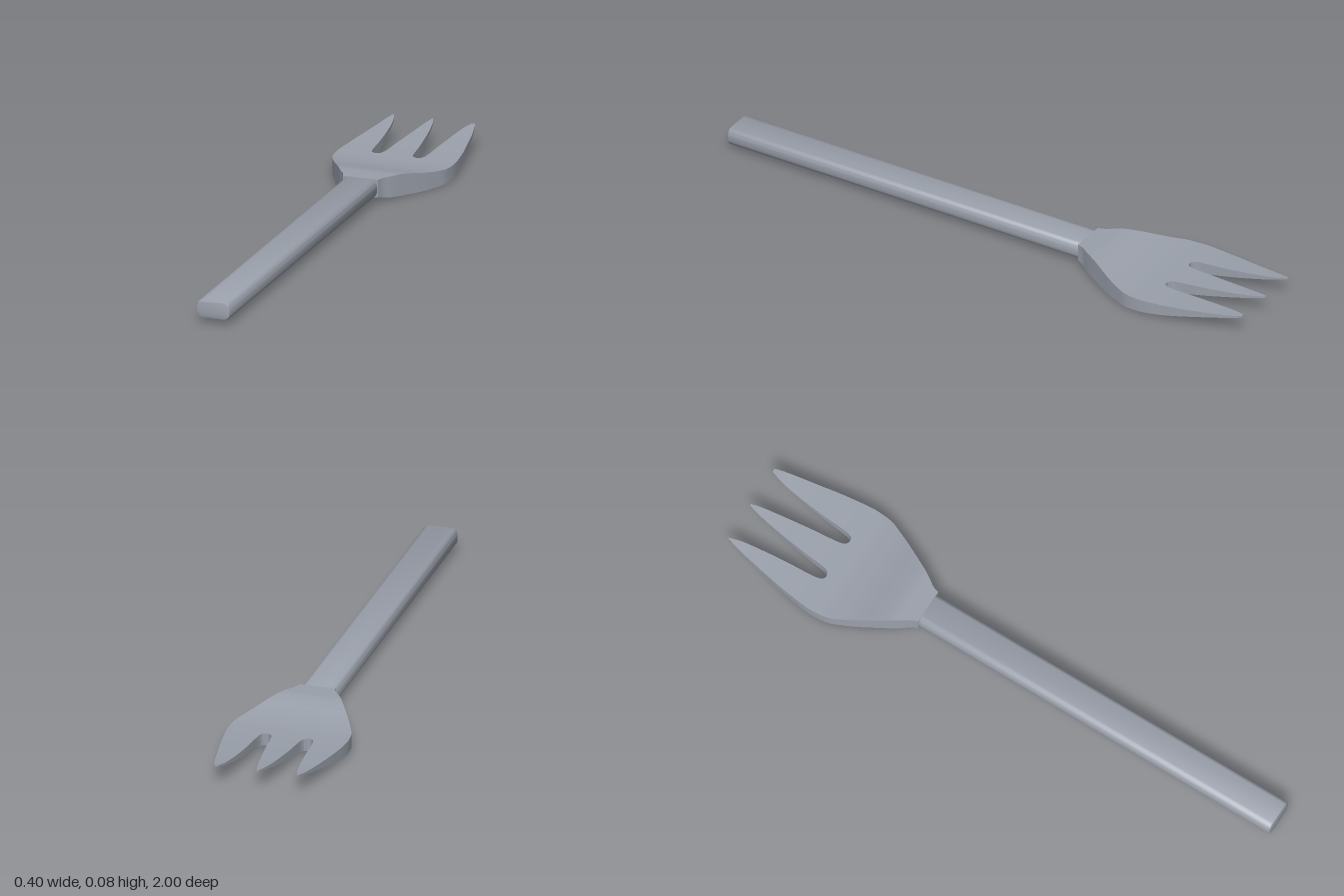
import * as THREE from 'three';
import { toCreasedNormals } from 'three/addons/utils/BufferGeometryUtils.js';

// Smooth curve through [position, value] pairs that never overshoots
function profile(points) {
  const slope = points.slice(1).map((p, i) => (p[1] - points[i][1]) / (p[0] - points[i][0]));
  const tangent = points.map((_, i) => {
    if (i === 0) return slope[0];
    if (i === points.length - 1) return slope[i - 1];
    const a = slope[i - 1], b = slope[i];
    return a * b <= 0 ? 0 : (2 * a * b) / (a + b);
  });
  return (d) => {
    let i = 0;
    while (i < points.length - 2 && d > points[i + 1][0]) i++;
    const [x0, y0] = points[i], [x1, y1] = points[i + 1];
    const w = x1 - x0, t = Math.min(1, Math.max(0, (d - x0) / w)), u = 1 - t;
    return y0 * (1 + 2 * t) * u * u + tangent[i] * w * t * u * u
      + y1 * t * t * (3 - 2 * t) - tangent[i + 1] * w * t * t * u;
  };
}

// Head profiles, measured by distance behind the centre (-z)
const top = profile([[0.33, 0.08], [0.4, 0.08], [0.45, 0.073], [0.5, 0.062], [0.55, 0.054],
  [0.62, 0.049], [0.7, 0.05], [0.8, 0.054], [0.9, 0.06], [1, 0.07]]);
const bottom = profile([[0.33, 0.02], [0.36, 0.012], [0.42, 0.005], [0.52, 0], [0.6, 0.002],
  [0.7, 0.01], [0.8, 0.026], [0.9, 0.045], [1, 0.065]]);
const outer = profile([[0.33, 0.06], [0.35, 0.066], [0.38, 0.087], [0.44, 0.121], [0.54, 0.173],
  [0.6, 0.196], [0.65, 0.2], [0.75, 0.19], [0.85, 0.173], [0.93, 0.158], [0.97, 0.149], [1, 0.14]]);
const SLOT = 0.668, SEAM = 0.071, SHIFT = -0.005;
const middleEdge = profile([[SLOT, SEAM], [0.67, 0.063], [0.675, 0.056], [0.685, 0.051], [0.7, 0.048],
  [0.77, 0.041], [0.85, 0.031], [0.93, 0.019], [0.97, 0.011], [1, 0.003]]);
const innerEdge = profile([[SLOT, SEAM], [0.67, 0.079], [0.675, 0.085], [0.685, 0.089], [0.7, 0.092],
  [0.8, 0.099], [0.9, 0.11], [0.96, 0.12], [1, 0.133]]);

// Rows along the head, denser round the slot bottoms
const rows = [SLOT, 0.669, 0.67, 0.6725, 0.675, 0.68, 0.685, 0.692];
for (let i = 0; i <= 48; i++) {
  const d = 0.33 + (0.67 * i) / 48;
  if (d < SLOT - 0.003 || d > 0.695) rows.push(d);
}
rows.sort((a, b) => a - b);

function headGeometry() {
  const pos = [];
  const quad = (a, b, c, d) => pos.push(...a, ...b, ...c, ...a, ...c, ...d);
  // Left and right limits of the strip that ends in each tine
  const limits = (tine, d) => {
    const s = Math.min(1, outer(d) / 0.11);
    const m = middleEdge(d) * s, n = innerEdge(d) * s;
    if (tine === 0) return [-m + SHIFT, m + SHIFT];
    return tine < 0 ? [-outer(d), -n + SHIFT] : [n + SHIFT, outer(d)];
  };
  for (const tine of [-1, 0, 1]) {
    const rings = rows.map((d) => {
      const [a, b] = limits(tine, d), t = top(d), u = bottom(d);
      return [[a, t, -d], [b, t, -d], [b, u, -d], [a, u, -d]];
    });
    for (let i = 0; i < rings.length - 1; i++) {
      const p = rings[i], q = rings[i + 1];
      const open = rows[i + 1] > SLOT;
      const wall = [true, open || tine === 1, true, open || tine === -1];
      for (let j = 0; j < 4; j++) {
        const k = (j + 1) % 4;
        if (wall[j]) quad(p[j], p[k], q[k], q[j]);
      }
    }
    const s = rings[0], e = rings[rings.length - 1];
    quad(s[3], s[2], s[1], s[0]);
    quad(e[0], e[1], e[2], e[3]);
  }
  const g = new THREE.BufferGeometry();
  g.setAttribute('position', new THREE.Float32BufferAttribute(pos, 3));
  return toCreasedNormals(g, 0.6);
}

// Handle bar with rounded sides and softened ends
function handleGeometry() {
  const w = 0.052, h = 0.025, r = 0.02, bevel = 0.006;
  const s = new THREE.Shape();
  s.moveTo(-w + r, -h);
  s.lineTo(w - r, -h);
  s.quadraticCurveTo(w, -h, w, -h + r);
  s.lineTo(w, h - r);
  s.quadraticCurveTo(w, h, w - r, h);
  s.lineTo(-w + r, h);
  s.quadraticCurveTo(-w, h, -w, h - r);
  s.lineTo(-w, -h + r);
  s.quadraticCurveTo(-w, -h, -w + r, -h);
  const g = new THREE.ExtrudeGeometry(s, {
    depth: 1.36 - 2 * bevel, bevelSize: bevel, bevelThickness: bevel, bevelSegments: 2, curveSegments: 6,
  });
  g.translate(-0.001, 0.048, -0.36 + bevel);
  return toCreasedNormals(g, 0.6);
}

export function createModel() {
  const steel = new THREE.MeshStandardMaterial({ color: 0x9aa0ab });
  steel.name = 'steel';
  const group = new THREE.Group();
  group.name = 'fork';
  const add = (name, geometry) => {
    const mesh = new THREE.Mesh(geometry, steel);
    mesh.name = name;
    group.add(mesh);
  };
  add('handle', handleGeometry());
  add('tinedHead', headGeometry());
  return group;
}
